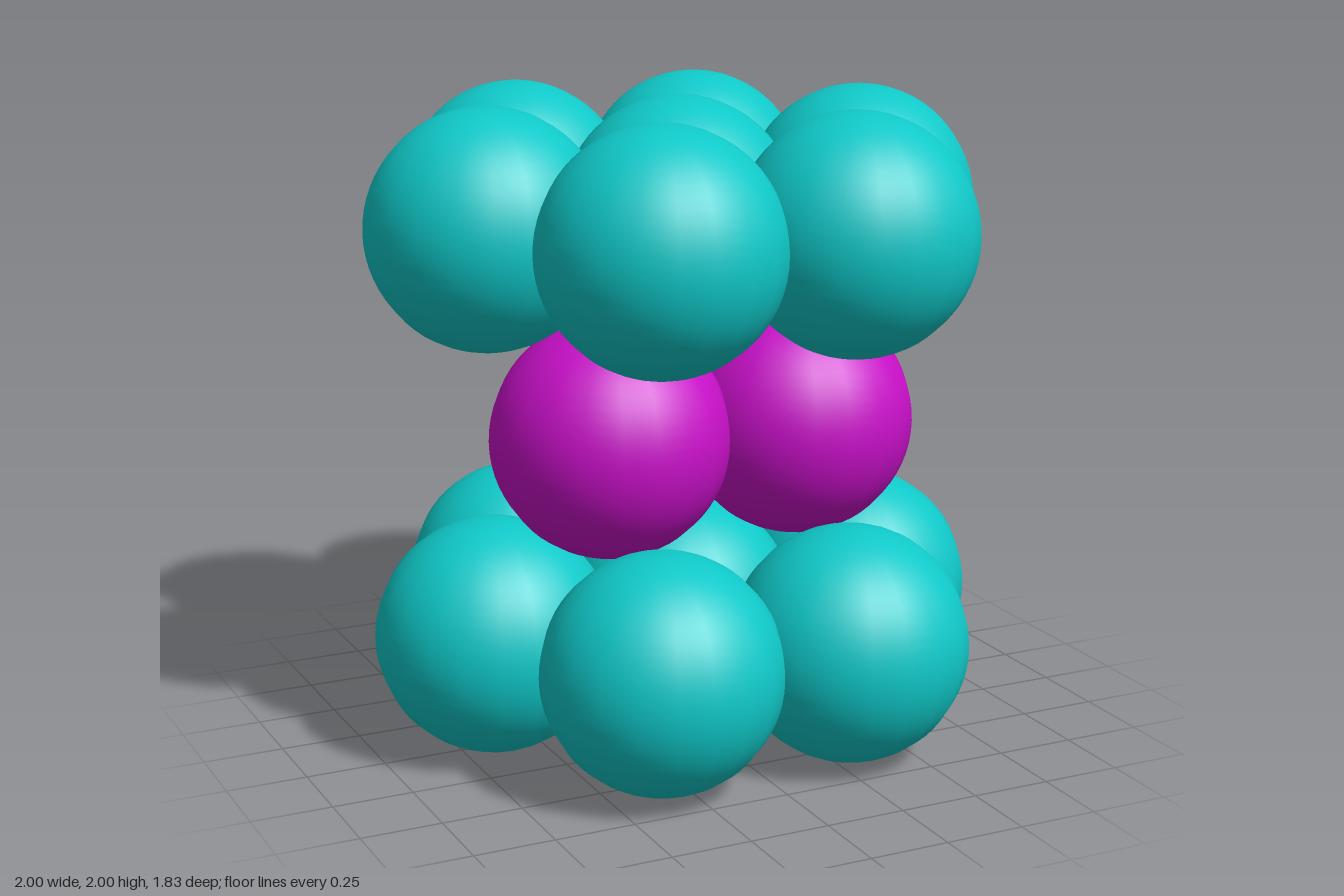
import * as THREE from 'three';

const R = 0.367;      // ball radius
const A = 0.633;      // spacing between neighbours in a layer
const ROW = 0.548;    // spacing between rows of a layer

export function createModel() {
  const model = new THREE.Group();
  model.name = 'stackedBallLattice';

  const teal = new THREE.MeshStandardMaterial({ color: 0x10c8c8 });
  teal.name = 'teal';
  const magenta = new THREE.MeshStandardMaterial({ color: 0xc810c8 });
  magenta.name = 'magenta';

  const ball = new THREE.SphereGeometry(R, 20, 32);

  // One layer: a group of equal balls at [x, z] positions
  function addLayer(name, y, material, spots) {
    const layer = new THREE.Group();
    layer.name = name;
    layer.position.y = y;
    spots.forEach(([x, z], i) => {
      const mesh = new THREE.Mesh(ball, material);
      mesh.name = `${name}Ball${i + 1}`;
      mesh.position.set(x, 0, z);
      layer.add(mesh);
    });
    model.add(layer);
  }

  // Hexagon of six balls around a central one
  const hexagon = [
    [-A / 2, -ROW], [A / 2, -ROW],
    [-A, 0], [0, 0], [A, 0],
    [-A / 2, ROW], [A / 2, ROW],
  ];
  // Three balls nested between the hexagons
  const triangle = [[-A / 2, 0.18], [A / 2, 0.18], [0, -0.343]];

  addLayer('bottomLayer', R, teal, hexagon);
  addLayer('middleLayer', 1, magenta, triangle);
  addLayer('topLayer', 2 - R, teal, hexagon);

  return model;
}
